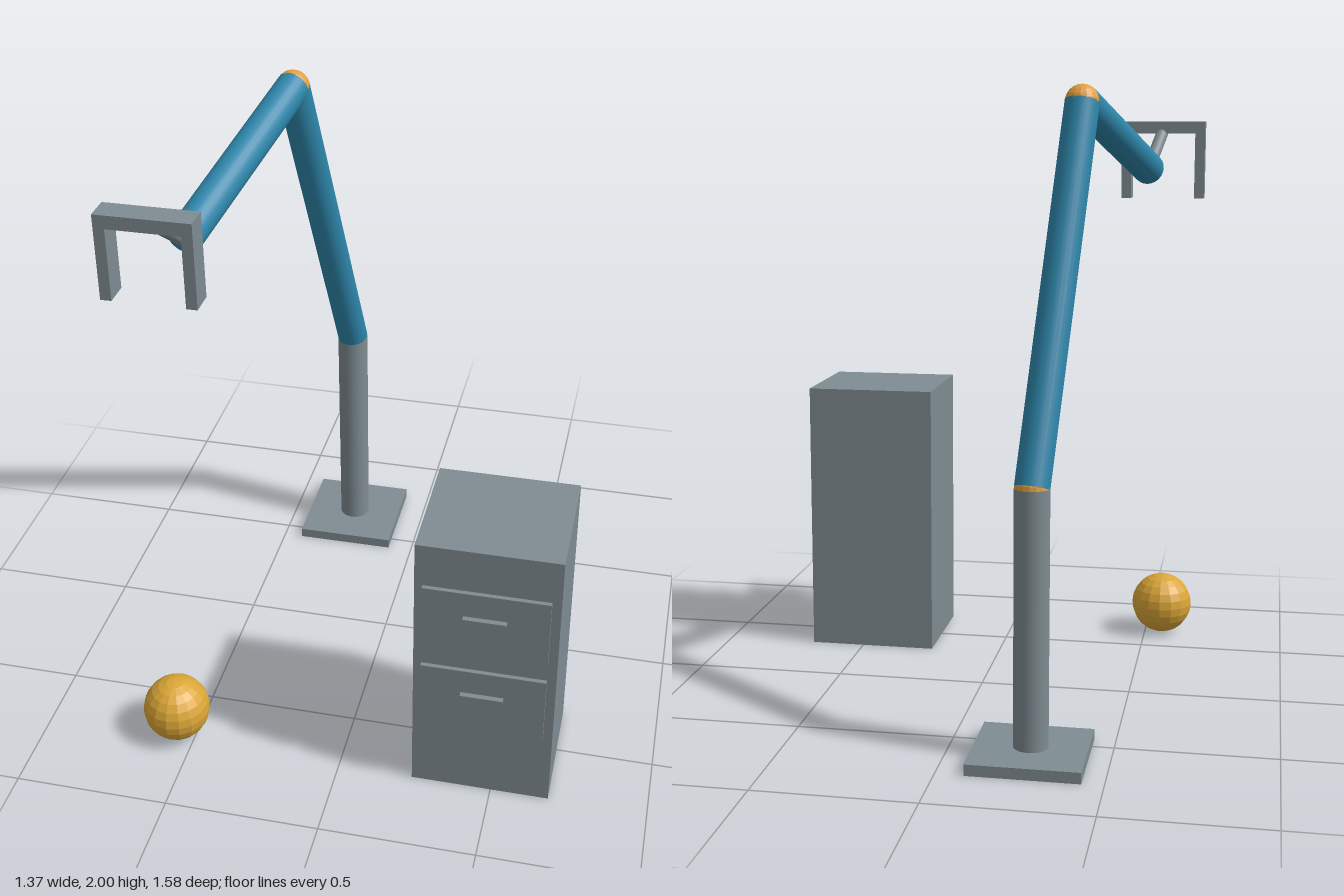
import * as THREE from 'three';

export function createModel() {
  const model = new THREE.Group();
  model.name = 'robotArmScene';

  const paint = (name, color) => {
    const m = new THREE.MeshStandardMaterial({ color });
    m.name = name;
    return m;
  };
  const grey = paint('steelGrey', 0x7f8c92);
  const blue = paint('armBlue', 0x2e86ab);
  const orange = paint('jointOrange', 0xe3a03f);
  const gold = paint('ballGold', 0xdba637);

  const add = (name, geometry, material, parent = model) => {
    const mesh = new THREE.Mesh(geometry, material);
    mesh.name = name;
    parent.add(mesh);
    return mesh;
  };
  // Box given by its lower and upper corners
  const box = (name, a, b, parent) => {
    const mesh = add(name, new THREE.BoxGeometry(b[0] - a[0], b[1] - a[1], b[2] - a[2]), grey, parent);
    mesh.position.set((a[0] + b[0]) / 2, (a[1] + b[1]) / 2, (a[2] + b[2]) / 2);
    return mesh;
  };
  // Round bar between two points
  const bar = (name, from, to, radius, material) => {
    const dir = to.clone().sub(from);
    const mesh = add(name, new THREE.CylinderGeometry(radius, radius, dir.length(), 24), material);
    mesh.position.copy(from).addScaledVector(dir, 0.5);
    mesh.quaternion.setFromUnitVectors(new THREE.Vector3(0, 1, 0), dir.normalize());
    return mesh;
  };
  // Faceted ball
  const ball = (name, centre, radius, material) => {
    const geometry = new THREE.SphereGeometry(radius, 16, 12).toNonIndexed();
    geometry.computeVertexNormals();
    add(name, geometry, material).position.copy(centre);
  };

  const R = 0.054;
  const foot = new THREE.Vector3(-0.26, 0.02, -0.617);
  const shoulder = new THREE.Vector3(-0.26, 0.83, -0.617);
  const elbow = new THREE.Vector3(-0.35, 1.946, -0.23);
  const wrist = new THREE.Vector3(-0.502, 1.727, 0.448);
  const hand = new THREE.Vector3(-0.542, 1.866, 0.619);

  // Arm
  box('basePlate', [-0.433, 0, -0.79], [-0.087, 0.035, -0.444]);
  bar('column', foot, shoulder, R, grey);
  ball('shoulderJoint', shoulder, R, orange);
  bar('upperArm', shoulder, elbow, R, blue);
  ball('elbowJoint', elbow, R, orange);
  bar('forearm', elbow, wrist, R, blue);
  bar('wristRod', wrist, hand, 0.021, grey);

  // Gripper with two fingers
  const gripper = new THREE.Group();
  gripper.name = 'gripper';
  model.add(gripper);
  box('gripperBar', [-0.687, 1.846, 0.578], [-0.397, 1.888, 0.659], gripper);
  box('rightFinger', [-0.687, 1.62, 0.578], [-0.653, 1.846, 0.659], gripper);
  box('leftFinger', [-0.431, 1.62, 0.578], [-0.397, 1.846, 0.659], gripper);

  // Cabinet with two drawers
  const cabinet = new THREE.Group();
  cabinet.name = 'cabinet';
  model.add(cabinet);
  box('cabinetBody', [0.243, 0, 0.319], [0.686, 0.945, 0.721], cabinet);
  for (const [label, y] of [['lower', 0.387], ['upper', 0.689]]) {
    box(label + 'DrawerFront', [0.27, y - 0.117, 0.73], [0.658, y + 0.117, 0.744], cabinet);
    box(label + 'DrawerHandle', [0.397, y + 0.014, 0.744], [0.53, y + 0.032, 0.761], cabinet);
  }

  // Loose ball
  ball('ball', new THREE.Vector3(-0.56, 0.111, 0.683), 0.109, gold);

  return model;
}
